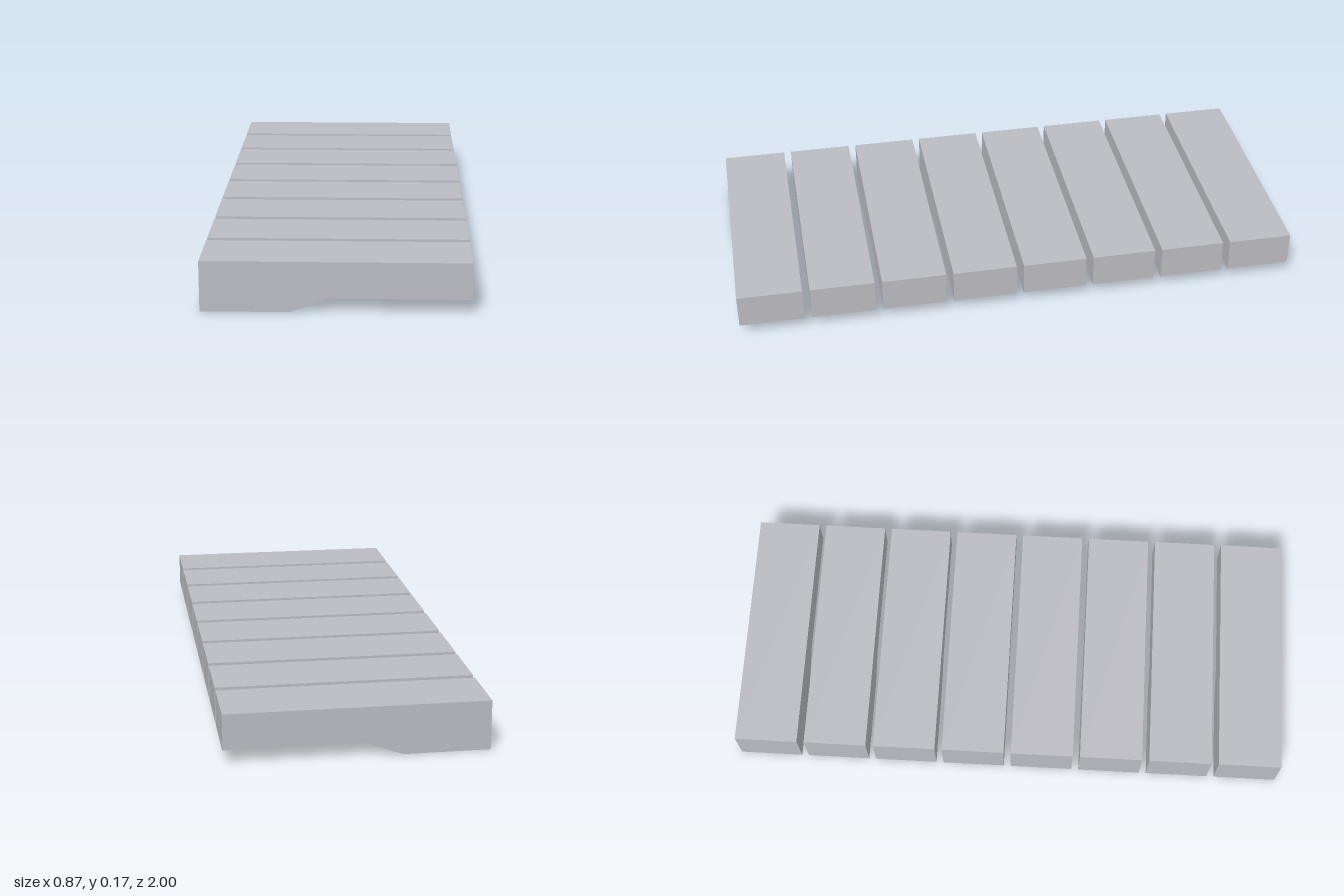
import * as THREE from 'three';

const COUNT = 8;
const PLANK = 0.227;             // depth of one plank along z
const PITCH = (2 - PLANK) / (COUNT - 1);

export function createModel() {
  const group = new THREE.Group();
  group.name = 'plankRow';
  const grey = new THREE.MeshStandardMaterial({ color: 0xbbbcc2 });
  grey.name = 'light grey';

  // Plank side profile: thick at -x, sloping up to a thinner end at +x
  const profile = new THREE.Shape([
    [-0.436, 0], [-0.147, 0], [-0.021, 0.0465],
    [0.436, 0.0465], [0.436, 0.168], [-0.436, 0.168],
  ].map(([x, y]) => new THREE.Vector2(x, y)));
  const geometry = new THREE.ExtrudeGeometry(profile, { depth: PLANK, bevelEnabled: false });

  // Evenly spaced planks with narrow gaps
  for (let i = 0; i < COUNT; i++) {
    const plank = new THREE.Mesh(geometry, grey);
    plank.name = `plank${i + 1}`;
    plank.position.z = -1 + i * PITCH;
    group.add(plank);
  }
  return group;
}
